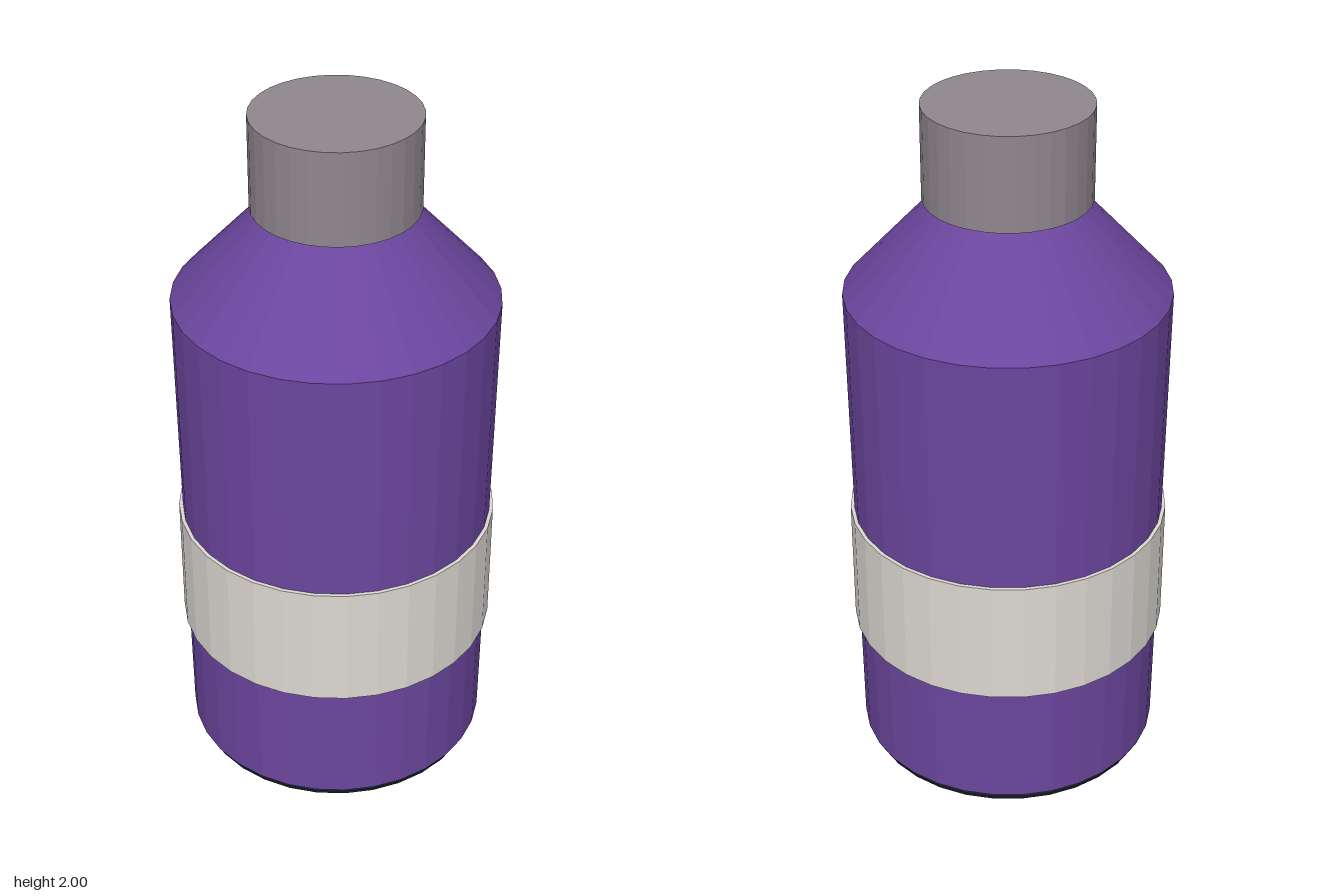
import * as THREE from 'three';

const SIDES = 32;

function material(name, color) {
  const m = new THREE.MeshStandardMaterial({ color, flatShading: true });
  m.name = name;
  return m;
}

export function createModel() {
  const purple = material('purple', 0x6b469e);
  const grey = material('warm grey', 0x8f878f);
  const cream = material('pale band', 0xdcd8d3);
  const dark = material('dark rubber', 0x1e2532);

  const bottle = new THREE.Group();
  bottle.name = 'bottle';

  function add(name, geometry, mat, y = 0) {
    const mesh = new THREE.Mesh(geometry, mat);
    mesh.name = name;
    mesh.position.y = y;
    bottle.add(mesh);
    return mesh;
  }

  // Upright cylinder or cone between two heights
  function ring(name, rTop, rBottom, y0, y1, mat) {
    add(name, new THREE.CylinderGeometry(rTop, rBottom, y1 - y0, SIDES), mat, (y0 + y1) / 2);
  }

  // Closed body: slightly flared wall and conical shoulder
  const profile = [[0, 0.035], [0.438, 0.035], [0.45, 1.465], [0.2, 1.737], [0, 1.737]]
    .map(([r, y]) => new THREE.Vector2(r, y));
  add('body', new THREE.LatheGeometry(profile, SIDES), purple);

  ring('cap', 0.23, 0.23, 1.735, 2, grey);
  ring('labelBand', 0.455, 0.455, 0.41, 0.78, cream);

  // Rounded foot ring under the body
  const foot = new THREE.TorusGeometry(0.408, 0.02, 8, SIDES);
  foot.rotateX(Math.PI / 2);
  add('footRing', foot, dark, 0.02);

  return bottle;
}
